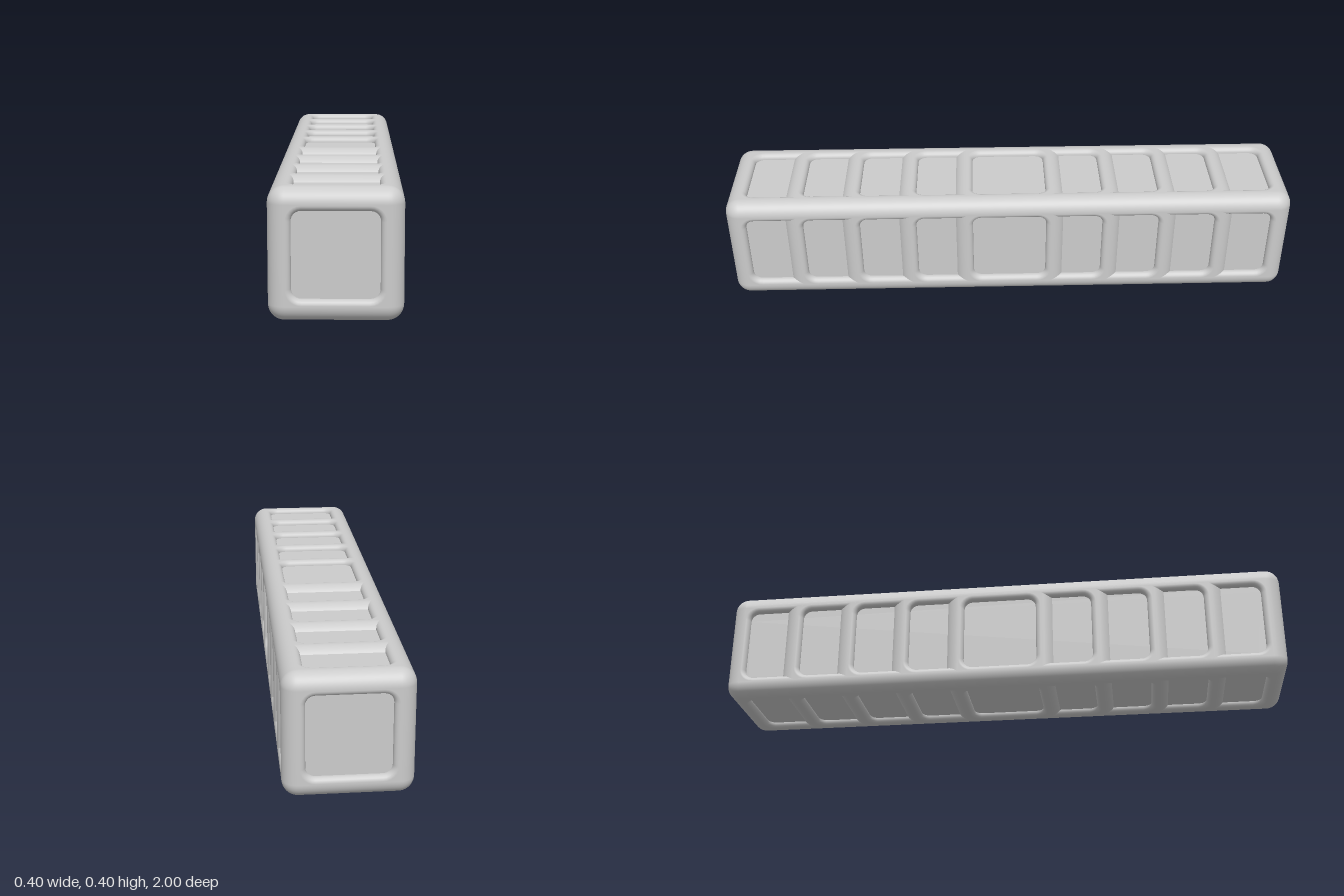
import * as THREE from 'three';
import { RoundedBoxGeometry } from 'three/addons/geometries/RoundedBoxGeometry.js';

const HALF = 0.2;     // half thickness of the beam
const ROUND = 0.05;   // outer edge rounding
const BORDER = 0.07;  // width of the frame bars
const DEPTH = 0.02;   // recess of the panels
const LIP = 0.018;    // width of the rounded inner lip

const material = new THREE.MeshStandardMaterial({ color: 0xcccccc, side: THREE.DoubleSide });

// Counter-clockwise rounded rectangle; each point keeps its outward direction
function roundedLoop(a, b, r, steps = 6) {
  const pts = [];
  [[1, 1], [-1, 1], [-1, -1], [1, -1]].forEach(([sx, sy], q) => {
    for (let i = 0; i <= steps; i++) {
      const t = (q + i / steps) * Math.PI / 2;
      const dir = new THREE.Vector2(Math.cos(t), Math.sin(t));
      pts.push({ p: new THREE.Vector2(sx * (a - r) + dir.x * r, sy * (b - r) + dir.y * r), dir });
    }
  });
  return pts;
}

// Rounded box with its flat faces removed, leaving edges and corners
function edgeFrame(halfLength) {
  const box = new RoundedBoxGeometry(HALF * 2, HALF * 2, halfLength * 2, 5, ROUND);
  const src = box.index ? box.toNonIndexed() : box;
  const p = src.attributes.position, n = src.attributes.normal;
  const pos = [], nor = [];
  const flat = (i) => Math.max(Math.abs(n.getX(i)), Math.abs(n.getY(i)), Math.abs(n.getZ(i))) > 0.9999;
  for (let i = 0; i < p.count; i += 3) {
    if (flat(i) && flat(i + 1) && flat(i + 2)) continue;
    for (let j = i; j < i + 3; j++) {
      pos.push(p.getX(j), p.getY(j), p.getZ(j));
      nor.push(n.getX(j), n.getY(j), n.getZ(j));
    }
  }
  const g = new THREE.BufferGeometry();
  g.setAttribute('position', new THREE.Float32BufferAttribute(pos, 3));
  g.setAttribute('normal', new THREE.Float32BufferAttribute(nor, 3));
  return g;
}

// Quarter-round lip that runs from the frame down to the panel
function lipGeometry(a, b, r) {
  const rows = 5, pos = [], nor = [], idx = [];
  let count = 0;
  for (let k = 0; k <= rows; k++) {
    const t = k / rows * Math.PI / 2;
    const out = LIP * (1 - Math.sin(t));
    const loop = roundedLoop(a + out, b + out, r + out);
    count = loop.length;
    for (const { p, dir } of loop) {
      pos.push(p.x, p.y, -DEPTH * (1 - Math.cos(t)));
      nor.push(-dir.x * Math.sin(t), -dir.y * Math.sin(t), Math.cos(t));
    }
  }
  for (let k = 0; k < rows; k++) {
    for (let i = 0; i < count; i++) {
      const j = (i + 1) % count, o = k * count, q = o + count;
      idx.push(o + i, o + j, q + j, o + i, q + j, q + i);
    }
  }
  const g = new THREE.BufferGeometry();
  g.setAttribute('position', new THREE.Float32BufferAttribute(pos, 3));
  g.setAttribute('normal', new THREE.Float32BufferAttribute(nor, 3));
  g.setIndex(idx);
  return g;
}

function addMesh(parent, geometry, name) {
  const mesh = new THREE.Mesh(geometry, material);
  mesh.name = name;
  parent.add(mesh);
  return mesh;
}

// One face lying in XY and facing +z: flat rim, lip and optional panel
function face(halfW, halfH, withPanel) {
  const g = new THREE.Group();
  const a = halfW - BORDER, b = halfH - BORDER, r = 0.03;
  const ox = halfW - ROUND, oy = halfH - ROUND;
  const rim = new THREE.Shape([[-ox, -oy], [ox, -oy], [ox, oy], [-ox, oy]].map(([x, y]) => new THREE.Vector2(x, y)));
  rim.holes.push(new THREE.Path(roundedLoop(a + LIP, b + LIP, r + LIP).map((q) => q.p).reverse()));
  addMesh(g, new THREE.ShapeGeometry(rim), 'rim');
  addMesh(g, lipGeometry(a, b, r), 'lip');
  if (withPanel) {
    const panel = new THREE.Shape(roundedLoop(a, b, r).map((q) => q.p));
    addMesh(g, new THREE.ShapeGeometry(panel), 'panel').position.z = -DEPTH;
  }
  return g;
}

export function createModel() {
  const model = new THREE.Group();
  model.name = 'panelledBeam';

  // Nested frames: the longest carries the panels, the shorter ones form the ribs
  for (let k = 1; k <= 5; k++) {
    const halfLength = 0.2 * k, outer = k === 5;
    const frame = new THREE.Group();
    frame.name = outer ? 'mainFrame' : 'ribFrame' + k;
    frame.position.y = HALF;
    addMesh(frame, edgeFrame(halfLength), 'edges');

    // Four long sides
    for (let i = 0; i < 4; i++) {
      const side = new THREE.Group();
      side.name = 'longSide';
      const f = face(HALF, halfLength, outer);
      f.rotation.x = -Math.PI / 2;
      f.position.y = HALF;
      side.add(f);
      side.rotation.z = i * Math.PI / 2;
      frame.add(side);
    }

    // Two square ends
    if (outer) {
      for (const s of [1, -1]) {
        const end = face(HALF, HALF, true);
        end.name = s > 0 ? 'frontEnd' : 'backEnd';
        end.position.z = s * halfLength;
        if (s < 0) end.rotation.y = Math.PI;
        frame.add(end);
      }
    }
    model.add(frame);
  }
  return model;
}
